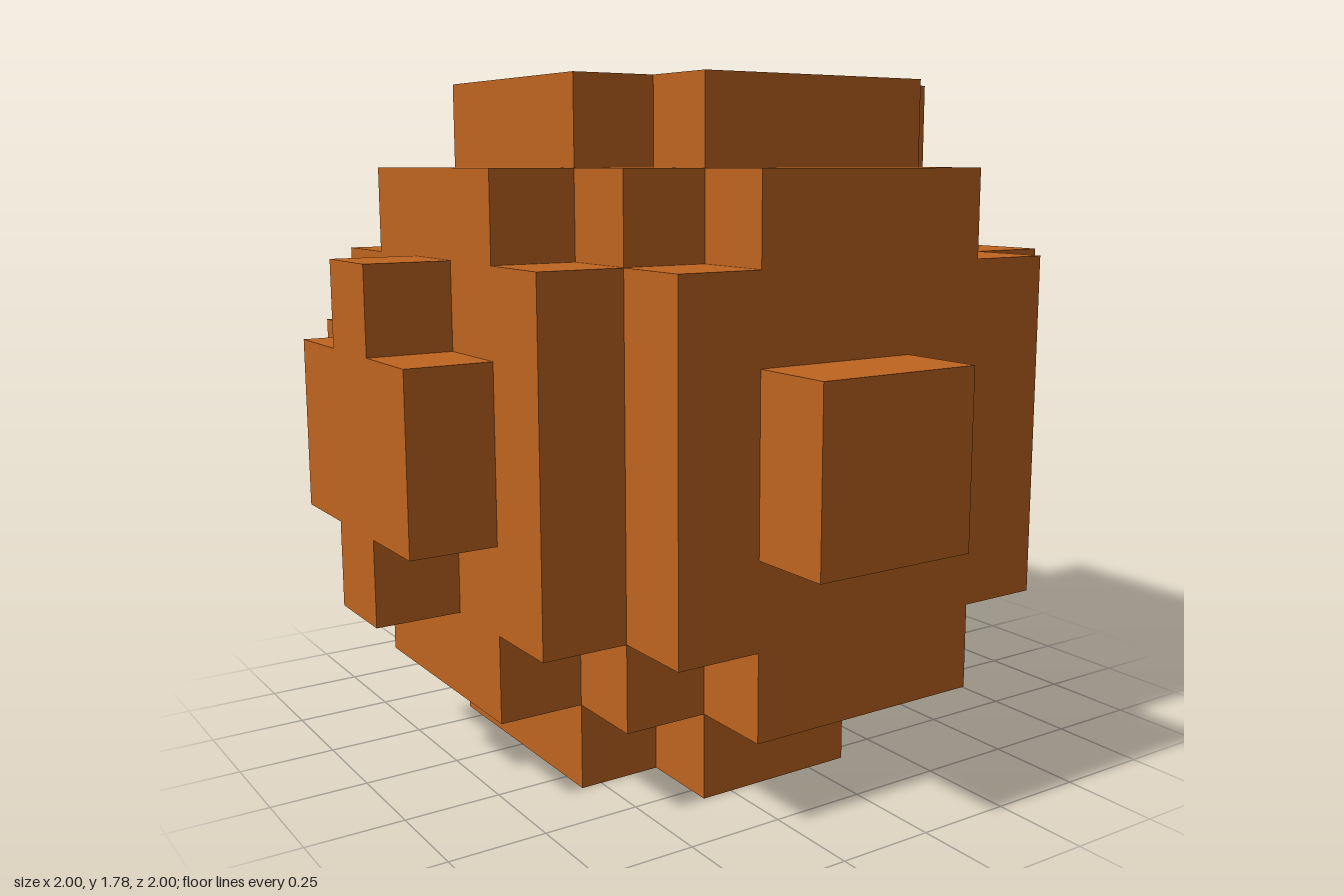
import * as THREE from 'three';

const S = 2 / 9; // edge of one cube; the model is 9 x 8 x 9 cubes

// Round body: per layer (counted from the equator) the largest |x| or |z| and the largest |x| + |z|
const LIMITS = [[3, 5], [3, 5], [3, 4], [2, 3]];
function inBody(x, y, z) {
  const layer = y > 3 ? y - 4 : 3 - y;
  if (layer < 0 || layer > 3) return false;
  const a = Math.abs(x), b = Math.abs(z);
  // chipped lower edge at the front left
  if (y === 0 && x > 0 && z > 0 && x + z > 2) return false;
  const [side, sum] = LIMITS[layer];
  return Math.max(a, b) <= side && a + b <= sum;
}

// Plus-shaped bump, u across and y up
const plus = (u, y) => (Math.abs(u) <= 1 && (y === 3 || y === 4)) || (u === 0 && y >= 2 && y <= 5);
const middle = (y) => y === 3 || y === 4;

const PARTS = {
  body: inBody,
  frontBump: (x, y, z) => z === 4 && middle(y) && (x === -1 || x === 0),
  leftBump: (x, y, z) => x === 4 && middle(y) && z === 0,
  backPlusBump: (x, y, z) => z === -4 && plus(x, y),
  rightPlusBump: (x, y, z) => x === -4 && plus(z, y),
  backCornerBump: (x, y, z) => x === -3 && z === -3 && middle(y),
};
const solid = (x, y, z) => Object.values(PARTS).some((test) => test(x, y, z));

// Outer cube faces of one part; faces touching another cube are left out
function cubeShell(test) {
  const pos = [], nor = [];
  for (let x = -4; x <= 4; x++) for (let y = 0; y <= 7; y++) for (let z = -4; z <= 4; z++) {
    if (!test(x, y, z)) continue;
    for (let axis = 0; axis < 3; axis++) for (const dir of [1, -1]) {
      const n = [0, 0, 0];
      n[axis] = dir;
      if (solid(x + n[0], y + n[1], z + n[2])) continue;
      const u = (axis + 1) % 3, v = (axis + 2) % 3;
      const corners = [[-1, -1], [1, -1], [1, 1], [-1, 1]].map(([p, q]) => {
        const c = [x, y + 0.5, z];
        c[axis] += dir / 2;
        c[u] += (p * dir) / 2;
        c[v] += q / 2;
        return c.map((k) => k * S);
      });
      for (const i of [0, 1, 2, 0, 2, 3]) {
        pos.push(...corners[i]);
        nor.push(...n);
      }
    }
  }
  const g = new THREE.BufferGeometry();
  g.setAttribute('position', new THREE.Float32BufferAttribute(pos, 3));
  g.setAttribute('normal', new THREE.Float32BufferAttribute(nor, 3));
  return g;
}

export function createModel() {
  const group = new THREE.Group();
  group.name = 'blockBall';
  const orange = new THREE.MeshStandardMaterial({ color: 0xc06520 });
  orange.name = 'orange';
  for (const [name, test] of Object.entries(PARTS)) {
    const mesh = new THREE.Mesh(cubeShell(test), orange);
    mesh.name = name;
    group.add(mesh);
  }
  return group;
}
